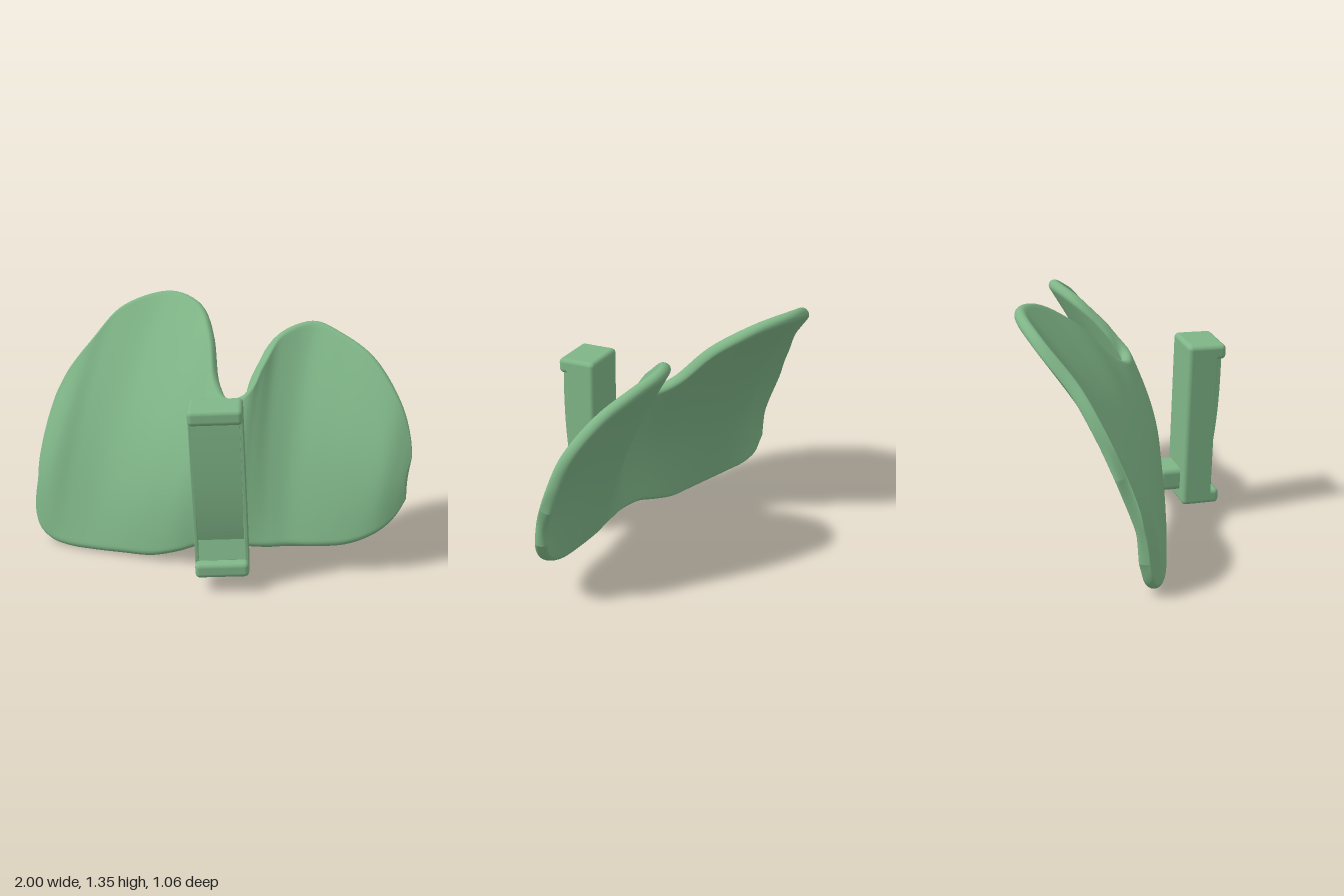
import * as THREE from 'three';
import { mergeVertices } from 'three/addons/utils/BufferGeometryUtils.js';
import { RoundedBoxGeometry } from 'three/addons/geometries/RoundedBoxGeometry.js';

const material = new THREE.MeshStandardMaterial({ color: 0x7fb587 });
const { lerp, smoothstep } = THREE.MathUtils;
const curve = (pts) => new THREE.CatmullRomCurve3(pts.map((p) => new THREE.Vector3(...p)));

// Lower and upper rims of the two-lobed plate, matched point for point
const lower = curve([
  [-0.985, 0.2, 0.35], [-0.94, 0.07, 0.37], [-0.86, 0.02, 0.378], [-0.75, 0.006, 0.38], [-0.58, 0.008, 0.355],
  [-0.42, 0.015, 0.32], [-0.25, 0.025, 0.28], [-0.1, 0.07, 0.24], [0.06, 0.135, 0.18], [0.2, 0.145, 0.14],
  [0.3, 0.14, 0.1], [0.38, 0.14, 0.06], [0.46, 0.145, 0.01], [0.6, 0.15, -0.06], [0.75, 0.17, -0.14],
  [0.87, 0.23, -0.22], [0.94, 0.31, -0.29], [0.985, 0.42, -0.35],
]);
const upper = curve([
  [-0.985, 0.64, 0.24], [-0.955, 0.89, 0.1], [-0.885, 1.07, -0.04], [-0.79, 1.26, -0.25], [-0.57, 1.345, -0.41],
  [-0.34, 1.31, -0.38], [-0.17, 1.18, -0.24], [-0.04, 0.98, -0.08], [0.06, 0.92, -0.01], [0.155, 0.95, -0.03],
  [0.18, 1.1, -0.16], [0.205, 1.23, -0.33], [0.33, 1.28, -0.49], [0.5, 1.23, -0.51], [0.7, 1.13, -0.495],
  [0.87, 0.95, -0.455], [0.945, 0.79, -0.435], [0.985, 0.64, -0.405],
]);

// Middle of the plate: ruled between the rims and bowed forward, most in the large lobe
function midSurface(u, v) {
  const p = lower.getPoint(u).lerp(upper.getPoint(u), v);
  const bow = lerp(0.12, 0.06, smoothstep(u, 0.3, 0.5));
  const fade = smoothstep(u, -0.05, 0.15) * (1 - smoothstep(u, 0.88, 1.05));
  p.z += bow * fade * Math.sin(Math.PI * v);
  return p;
}

function plateGeometry(nu = 150, nv = 48, half = 0.032) {
  const ease = (t) => 0.5 - 0.5 * Math.cos(Math.PI * t);
  const grid = [];
  for (let i = 0; i <= nu; i++) {
    grid.push([]);
    for (let j = 0; j <= nv; j++) grid[i].push(midSurface(ease(i / nu), ease(j / nv)));
  }
  const position = [], index = [];
  for (const side of [1, -1]) {
    const base = position.length / 3;
    for (let i = 0; i <= nu; i++) for (let j = 0; j <= nv; j++) {
      const p = grid[i][j];
      const du = grid[Math.min(i + 1, nu)][j].clone().sub(grid[Math.max(i - 1, 0)][j]);
      const dv = grid[i][Math.min(j + 1, nv)].clone().sub(grid[i][Math.max(j - 1, 0)]);
      const n = du.cross(dv).normalize();
      // Thickness closes in a round edge at the border
      const edge = Math.min(...[grid[i][0], grid[i][nv], grid[0][j], grid[nu][j]].map((q) => p.distanceTo(q)));
      const k = 1 - Math.min(1, edge / half);
      p.clone().addScaledVector(n, side * half * Math.sqrt(1 - k * k)).toArray(position, position.length);
      if (i < nu && j < nv) {
        const a = base + i * (nv + 1) + j, b = a + nv + 1;
        if (side > 0) index.push(a, b, b + 1, a, b + 1, a + 1);
        else index.push(a, b + 1, b, a, a + 1, b + 1);
      }
    }
  }
  const g = new THREE.BufferGeometry();
  g.setAttribute('position', new THREE.Float32BufferAttribute(position, 3));
  g.setIndex(index);
  const merged = mergeVertices(g, 1e-5);
  merged.computeVertexNormals();
  return merged;
}

function add(parent, name, geometry, x = 0, y = 0, z = 0) {
  const mesh = new THREE.Mesh(geometry, material);
  mesh.name = name;
  mesh.position.set(x, y, z);
  parent.add(mesh);
}

// Curved pad between the caps, drawn from the side and extruded across
function padGeometry(width) {
  const s = new THREE.Shape();
  s.moveTo(-0.08, -0.42);
  s.lineTo(0.065, -0.42);
  s.lineTo(0.065, -0.385);
  s.lineTo(0.035, -0.28);
  s.quadraticCurveTo(0.1, -0.02, 0.09, 0.42);
  s.lineTo(-0.08, 0.42);
  s.closePath();
  const g = new THREE.ExtrudeGeometry(s, { depth: width, bevelEnabled: false, curveSegments: 20 });
  g.translate(0, 0, -width / 2);
  g.rotateY(-Math.PI / 2);
  return g;
}

export function createModel() {
  const model = new THREE.Group();
  add(model, 'lobedPlate', plateGeometry());

  // Bracket turned toward the model's left and tipped slightly forward
  const bracket = new THREE.Group();
  bracket.name = 'bracket';
  bracket.position.set(0.24, 0.56, 0.362);
  bracket.rotation.set(0.037, 0.52, 0.032, 'XZY');
  model.add(bracket);

  add(bracket, 'curvedPad', padGeometry(0.25));
  add(bracket, 'bracketBack', new RoundedBoxGeometry(0.285, 0.94, 0.13, 4, 0.025), 0, 0, -0.035);
  for (const s of [-1, 1]) {
    add(bracket, s > 0 ? 'topCap' : 'bottomCap', new RoundedBoxGeometry(0.285, 0.083, 0.215, 4, 0.025), 0, s * 0.428, 0.0075);
    add(bracket, s > 0 ? 'leftWall' : 'rightWall', new RoundedBoxGeometry(0.02, 0.89, 0.14, 2, 0.005), s * 0.1325, 0, -0.005);
  }
  add(bracket, 'neck', new RoundedBoxGeometry(0.2, 0.13, 0.15, 4, 0.03), 0.02, -0.335, -0.145);
  return model;
}
